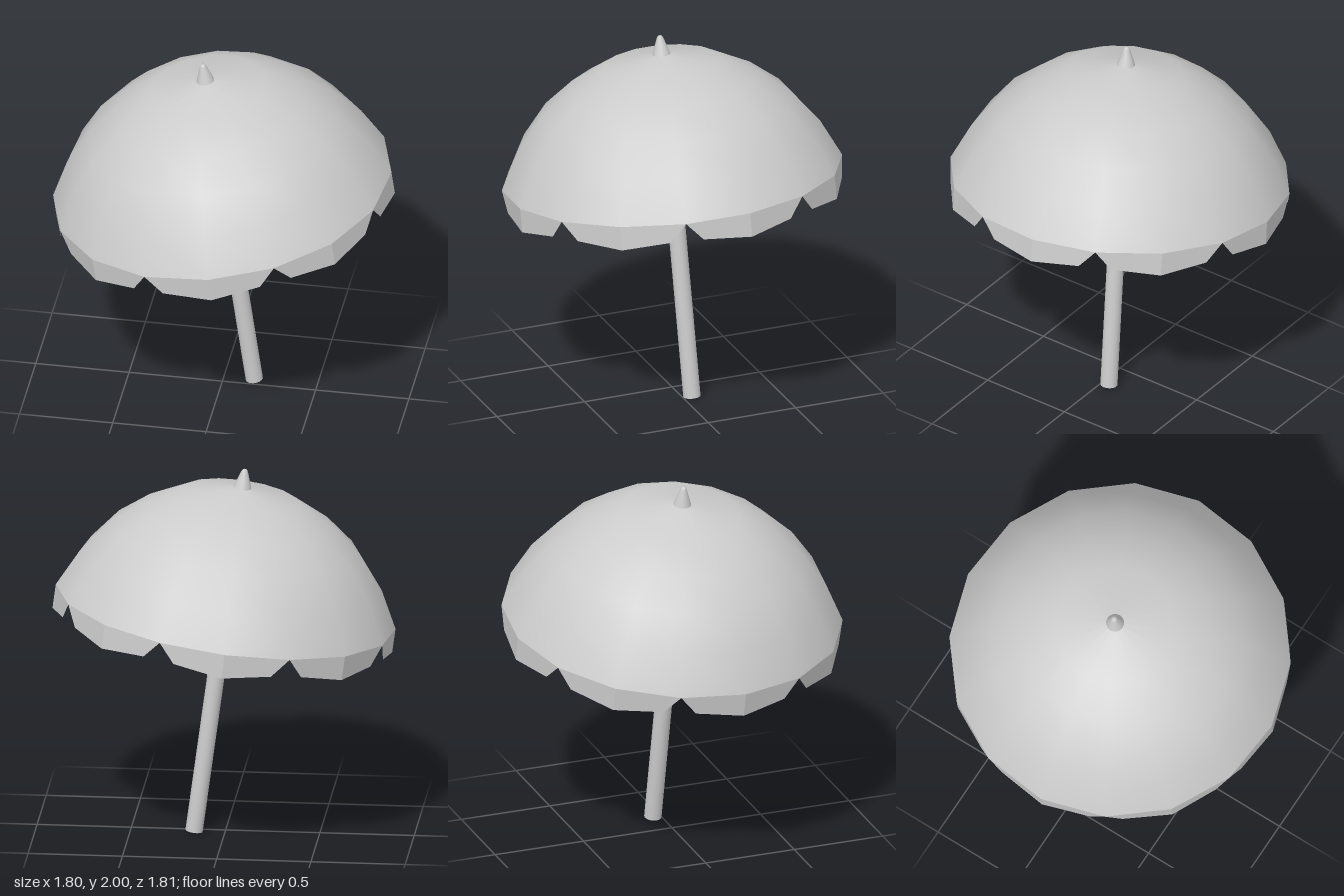
import * as THREE from 'three';

const SIDES = 16;
const RIM = 0.905;
const START = THREE.MathUtils.degToRad(27.5);
const STEP = (Math.PI * 2) / SIDES;

const smooth = new THREE.MeshStandardMaterial({ color: 0xcccccc, side: THREE.DoubleSide });
const faceted = new THREE.MeshStandardMaterial({ color: 0xcccccc, side: THREE.DoubleSide, flatShading: true });

function part(name, geometry, material = smooth) {
  const mesh = new THREE.Mesh(geometry, material);
  mesh.name = name;
  return mesh;
}

// Cylinder running between two points
function rod(name, from, to, radius, sides, openEnded = false) {
  const dir = to.clone().sub(from);
  const mesh = part(name, new THREE.CylinderGeometry(radius, radius, dir.length(), sides, 1, openEnded));
  mesh.position.copy(from).add(to).multiplyScalar(0.5);
  mesh.quaternion.setFromUnitVectors(new THREE.Vector3(0, 1, 0), dir.normalize());
  return mesh;
}

// Point on the straight-sided rim; u counts sides
function rimPoint(u, y) {
  const i = Math.floor(u);
  const corner = (k) => new THREE.Vector3(
    RIM * Math.sin(START + k * STEP), y, RIM * Math.cos(START + k * STEP));
  return corner(i).lerp(corner(i + 1), u - i);
}

// Hanging edge: one scallop for every two sides, notched up to the rim
function valanceGeometry() {
  const scallop = [[0, 0], [0.25, 0.1], [1, 0.13], [1.75, 0.1], [2, 0]];
  const points = [];
  for (let s = 0; s < SIDES; s += 2) {
    for (let i = 0; i < scallop.length - 1; i++) {
      const [u0, d0] = scallop[i];
      const [u1, d1] = scallop[i + 1];
      const a = rimPoint(s + u0, 0), b = rimPoint(s + u1, 0);
      const c = rimPoint(s + u0, -d0), d = rimPoint(s + u1, -d1);
      if (d0 > 0) points.push(a, c, d);
      if (d1 > 0) points.push(a, d, b);
    }
  }
  const geometry = new THREE.BufferGeometry().setFromPoints(points);
  geometry.computeVertexNormals();
  return geometry;
}

export function createModel() {
  const model = new THREE.Group();
  model.name = 'parasol';

  // Everything is built upright around the rim centre, then leaned over
  const canopyProfile = [
    [RIM, 0], [0.805, 0.2], [0.67, 0.375], [0.51, 0.505], [0.315, 0.61], [0, 0.67],
  ].map(([r, y]) => new THREE.Vector2(r, y));
  model.add(part('canopy', new THREE.LatheGeometry(canopyProfile, SIDES, START)));
  model.add(part('valance', valanceGeometry(), faceted));

  // Pole, open at the foot
  model.add(rod('pole', new THREE.Vector3(0, -1.245, 0), new THREE.Vector3(0, 0.66, 0), 0.046, 16, true));

  // Pair of struts branching from the pole
  for (const [side, name] of [[1, 'leftStrut'], [-1, 'rightStrut']]) {
    model.add(rod(name, new THREE.Vector3(side * 0.03, -0.295, 0),
      new THREE.Vector3(side * 0.6, 0.25, 0), 0.021, 12));
  }

  // Blunt finial on the crown
  const finialProfile = [[0.05, 0.655], [0.018, 0.75], [0.011, 0.762], [0, 0.766]]
    .map(([r, y]) => new THREE.Vector2(r, y));
  model.add(part('finial', new THREE.LatheGeometry(finialProfile, 16)));

  const axis = new THREE.Vector3(-0.131, 0.99, 0.037).normalize();
  model.quaternion.setFromUnitVectors(new THREE.Vector3(0, 1, 0), axis);
  model.position.set(0, 1.24, 0);

  const root = new THREE.Group();
  root.name = 'leaningParasol';
  root.add(model);
  return root;
}
